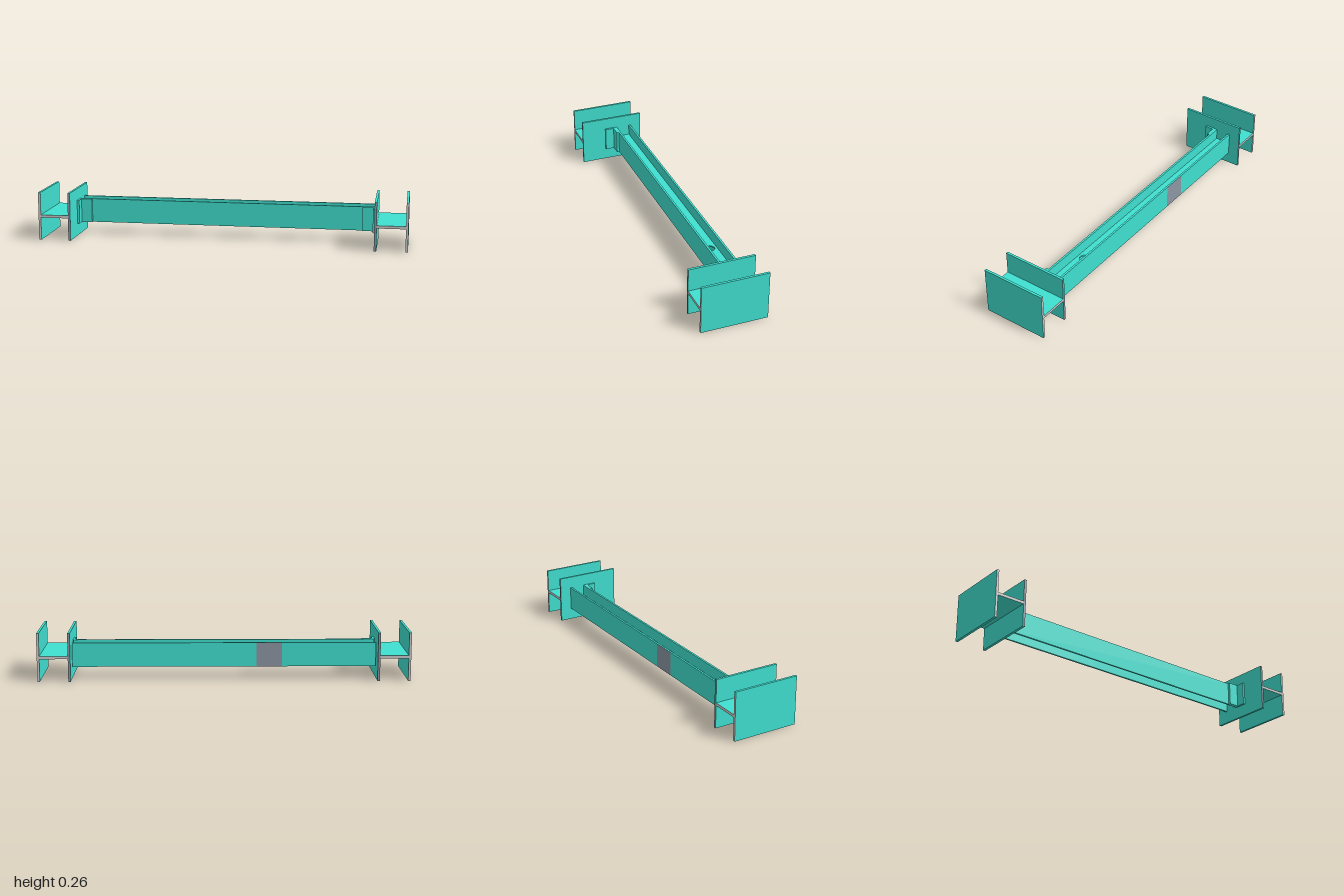
import * as THREE from 'three';

const teal = new THREE.MeshStandardMaterial({ color: 0x40e0d0 });
const grey = new THREE.MeshStandardMaterial({ color: 0xcccccc });
const slate = new THREE.MeshStandardMaterial({ color: 0x8c96a3 });

// Box given by its limits on each axis
function box(name, [x0, x1], [y0, y1], [z0, z1], material = teal) {
  const mesh = new THREE.Mesh(new THREE.BoxGeometry(x1 - x0, y1 - y0, z1 - z0), material);
  mesh.position.set((x0 + x1) / 2, (y0 + y1) / 2, (z0 + z1) / 2);
  mesh.name = name;
  return mesh;
}

// Extrude a plan outline (x, -z) upwards between two heights
function plate(name, shape, y0, y1) {
  const geo = new THREE.ExtrudeGeometry(shape, { depth: y1 - y0, bevelEnabled: false, curveSegments: 24 });
  geo.rotateX(-Math.PI / 2).translate(0, y0, 0);
  const mesh = new THREE.Mesh(geo, teal);
  mesh.name = name;
  return mesh;
}

const outline = (pts) => new THREE.Shape(pts.map(([x, z]) => new THREE.Vector2(x, -z)));

export function createModel() {
  const model = new THREE.Group();
  const H = 0.263, D = 0.18, yb = [0.068, 0.199];

  // H-section columns lying along z, with untreated cut ends
  const capped = (cap) => [teal, teal, teal, teal, cap, cap];
  for (const s of [-1, 1]) {
    const span = (a, b) => (s > 0 ? [a, b] : [-b, -a]);
    const column = new THREE.Group();
    column.name = s > 0 ? 'leftColumn' : 'rightColumn';
    column.add(
      box('outerFlange', span(0.987, 1), [0, H], [-D, D], capped(grey)),
      box('innerFlange', span(0.822, 0.835), [0, H], [-D, D], capped(slate)),
      box('columnWeb', span(0.835, 0.987), [0.124, 0.139], [-D, D], capped(grey))
    );
    model.add(column);

    // Angle bracket joining the beam's front flange to the column
    const pts = [[0.821, -0.021], [0.821, 0.041], [0.809, 0.041], [0.809, -0.008], [0.75, -0.008], [0.75, -0.021]];
    model.add(plate(s > 0 ? 'leftBracket' : 'rightBracket', outline(pts.map(([x, z]) => [s * x, z])), ...yb));
  }

  // Cross beam: front flange, back flange with a marked square, pierced web
  const beam = new THREE.Group();
  beam.name = 'crossBeam';
  const L = 0.818, back = [-0.118, -0.107], patch = [-0.312, -0.174];
  beam.add(
    box('frontFlange', [-L, L], yb, [-0.032, -0.021]),
    box('backFlangeRight', [-L, patch[0]], yb, back),
    box('backFlangePatch', patch, yb, back, [teal, teal, teal, teal, teal, slate]),
    box('backFlangeLeft', [patch[1], L], yb, back)
  );
  const web = outline([[-L, -0.032], [L, -0.032], [L, -0.107], [-L, -0.107]]);
  web.holes.push(new THREE.Path().absarc(0.52, 0.07, 0.025, 0, Math.PI * 2, true));
  beam.add(plate('beamWeb', web, 0.13, 0.138));
  model.add(beam);

  return model;
}
